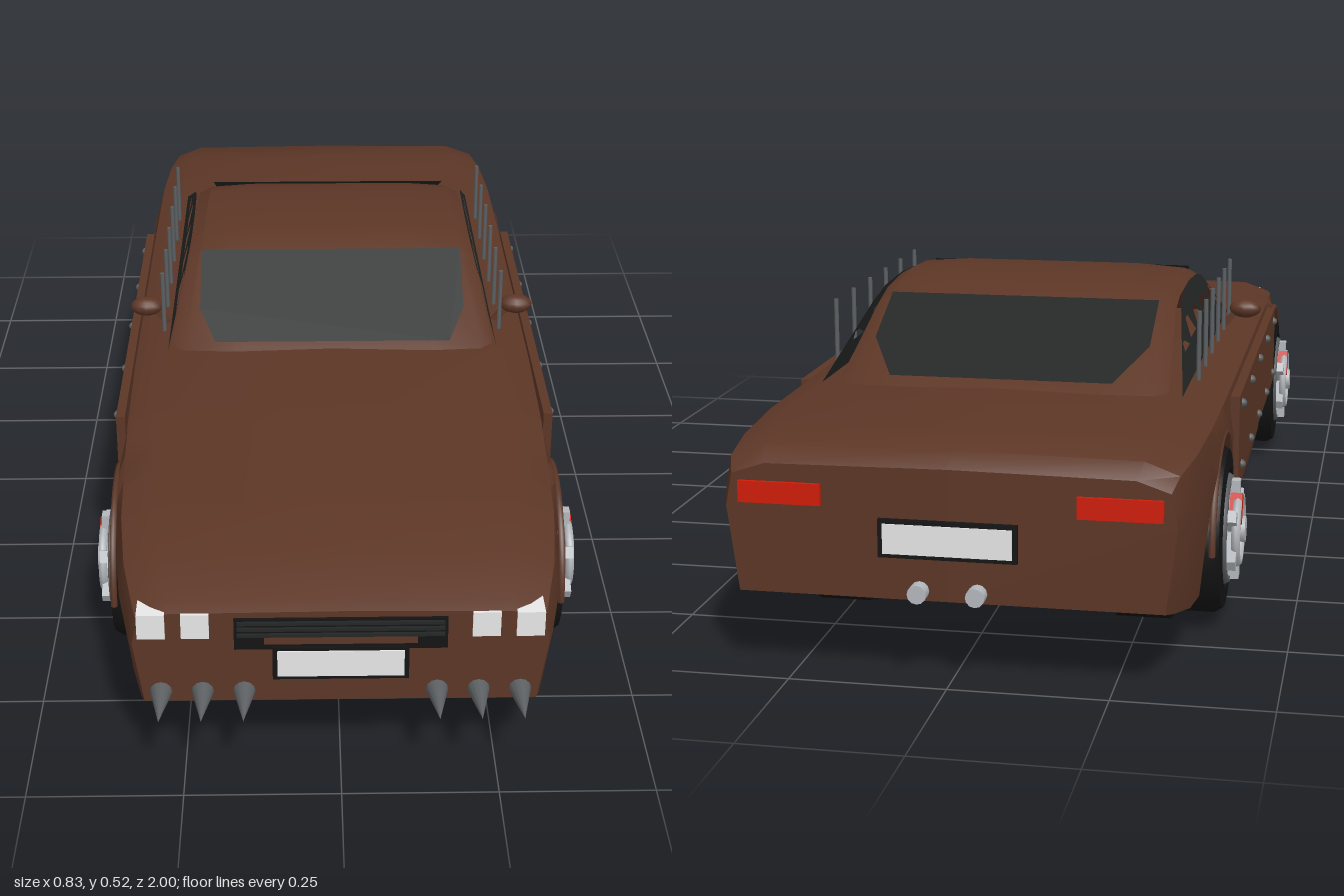
import * as THREE from 'three';
import { toCreasedNormals } from 'three/addons/utils/BufferGeometryUtils.js';

const mat = (name, color, side = THREE.FrontSide) => {
  const m = new THREE.MeshStandardMaterial({ color, side });
  m.name = name;
  return m;
};

const WHEEL_Y = 0.155, ARCH_R = 0.16, AXLES = [0.535, -0.6];

// Builds a geometry from points and triangle indices, keeping hard edges
function surface(pos, idx, crease = 0.6) {
  const g = new THREE.BufferGeometry();
  g.setAttribute('position', new THREE.Float32BufferAttribute(pos, 3));
  g.setIndex(idx);
  return toCreasedNormals(g, crease);
}

// z, floor height, top height, half width
const HULL = [
  [0.92, 0.125, 0.292, 0.328], [0.9, 0.12, 0.3, 0.335], [0.8, 0.1, 0.327, 0.357],
  [0.68, 0.085, 0.346, 0.37], [0.4, 0.08, 0.371, 0.38], [0.17, 0.08, 0.379, 0.382],
  [-0.45, 0.08, 0.38, 0.382], [-0.7, 0.083, 0.38, 0.38], [-0.85, 0.1, 0.373, 0.372],
  [-0.95, 0.125, 0.363, 0.358], [-0.978, 0.132, 0.34, 0.348],
];
function hullAt(z) {
  let i = 0;
  while (i < HULL.length - 2 && z < HULL[i + 1][0]) i++;
  const a = HULL[i], b = HULL[i + 1], t = (a[0] - z) / (a[0] - b[0]);
  return [1, 2, 3].map(k => a[k] + (b[k] - a[k]) * t);
}

// Body hull lofted along z, with wheel arches cut upward from the sill
function hullGeometry() {
  const zs = HULL.map(h => h[0]);
  for (const c of AXLES) {
    zs.push(c + ARCH_R + 0.001, c - ARCH_R - 0.001);
    for (let k = 0; k <= 14; k++) zs.push(c + ARCH_R * 0.9999 * Math.cos(k * Math.PI / 14));
  }
  zs.sort((a, b) => b - a);
  const pos = [], idx = [];
  for (const z of zs) {
    const [yb, yt, w] = hullAt(z), h = yt - yb;
    let ya = yb;
    for (const c of AXLES) {
      const d = Math.abs(z - c);
      if (d < ARCH_R) ya = WHEEL_Y + Math.sqrt(ARCH_R * ARCH_R - d * d);
    }
    const belt = Math.max(yb + h * 0.65, ya + 0.003);
    const sillX = w * (0.95 + 0.05 * Math.min(1, (ya - yb) / (h * 0.65)));
    const half = [[0, yb], [0.2, yb], [0.2, ya], [sillX, ya], [w, belt],
      [w * 0.97, yb + h * 0.9], [w * 0.82, yb + h * 0.985], [0, yt]];
    const ring = [...half, ...half.slice(1, -1).reverse().map(([x, y]) => [-x, y])];
    for (const [x, y] of ring) pos.push(x, y, z);
  }
  const n = 14, last = (zs.length - 1) * n;
  for (let i = 0; i < zs.length - 1; i++) for (let j = 0; j < n; j++) {
    const a = i * n + j, b = i * n + (j + 1) % n, c = a + n, d = b + n;
    idx.push(a, c, b, b, c, d);
  }
  for (let j = 1; j < n - 1; j++) {
    idx.push(0, j, j + 1);
    idx.push(last, last + j + 1, last + j);
  }
  return surface(pos, idx);
}

// Roof shell: z, height, half width
const ROOF = [[0.2, 0.365, 0.31], [0.17, 0.382, 0.305], [-0.03, 0.498, 0.278], [-0.09, 0.511, 0.273],
  [-0.2, 0.518, 0.27], [-0.31, 0.511, 0.268], [-0.37, 0.495, 0.268], [-0.6, 0.385, 0.285], [-0.63, 0.37, 0.285]];
function roofGeometry() {
  const cross = [[-1, 0.02], [-0.91, 0.006], [-0.6, 0], [0.6, 0], [0.91, 0.006], [1, 0.02]];
  const pos = [], idx = [];
  for (const [z, y, w] of ROOF) for (const [f, drop] of cross) pos.push(f * w, y - drop, z);
  for (let i = 0; i < ROOF.length - 1; i++) for (let j = 0; j < 5; j++) {
    const a = i * 6 + j;
    idx.push(a, a + 1, a + 6, a + 1, a + 7, a + 6);
  }
  return surface(pos, idx, 0.45);
}

// Flat pane on a sloping line, outlined by half-width and z pairs
function paneGeometry(half, z0, y0, z1, y1) {
  const outline = [...half, ...half.slice().reverse().map(([x, z]) => [-x, z])];
  const pos = [], idx = [];
  for (const [x, z] of outline) pos.push(x, y0 + (y1 - y0) * (z - z0) / (z1 - z0) + 0.005, z);
  for (let j = 1; j < outline.length - 1; j++) idx.push(0, j, j + 1);
  return surface(pos, idx);
}

// Leaning side window frame with open slots
function sideFrameGeometry(s) {
  const path = pts => pts.map(([z, y]) => new THREE.Vector2(z, y));
  const shape = new THREE.Shape(path([[0.18, 0.37], [-0.03, 0.482], [-0.09, 0.494], [-0.2, 0.5],
    [-0.31, 0.494], [-0.37, 0.478], [-0.61, 0.37]]));
  for (const [a, b, ya, yb] of [[0.085, -0.02, 0.412, 0.455], [-0.05, -0.13, 0.425, 0.46],
    [-0.16, -0.24, 0.425, 0.46], [-0.27, -0.35, 0.425, 0.46], [-0.38, -0.45, 0.42, 0.435]])
    shape.holes.push(new THREE.Path(path([[a, ya], [b, ya], [b, yb], [b + (a - b) * 0.35, yb]])));
  const g = new THREE.ShapeGeometry(shape), p = g.attributes.position;
  for (let i = 0; i < p.count; i++) {
    const z = p.getX(i), y = p.getY(i);
    p.setXYZ(i, s * (0.307 - 0.3 * (y - 0.38)), y, z);
  }
  g.computeVertexNormals();
  return g;
}

export function createModel() {
  const car = new THREE.Group();
  car.name = 'armouredCoupe';
  const paint = mat('brownPaint', 0x5c3626);
  const shell = mat('brownShell', 0x5c3626, THREE.DoubleSide);
  const glass = mat('darkGlass', 0x242626, THREE.DoubleSide);
  const rubber = mat('blackRubber', 0x141414);
  const silver = mat('silver', 0xb4b8bc);
  const steel = mat('darkSteel', 0x5c6062);
  const white = mat('lampWhite', 0xe8e8e8);
  const red = mat('red', 0xd01c08);

  const add = (name, geo, m, x = 0, y = 0, z = 0, parent = car) => {
    const mesh = new THREE.Mesh(geo, m);
    mesh.name = name;
    mesh.position.set(x, y, z);
    parent.add(mesh);
    return mesh;
  };
  const box = (name, w, h, d, m, x, y, z, parent) => add(name, new THREE.BoxGeometry(w, h, d), m, x, y, z, parent);

  // Body and cabin
  add('body', hullGeometry(), paint);
  add('roof', roofGeometry(), shell);
  add('windscreen', paneGeometry([[0.22, 0.166], [0.25, 0.1], [0.25, -0.02]], 0.17, 0.382, -0.03, 0.498), glass);
  add('rearWindow', paneGeometry([[0.24, -0.38], [0.24, -0.5], [0.19, -0.595]], -0.37, 0.495, -0.6, 0.385), glass);

  // Wheels, modelled facing +x around the hub
  const tyreGeo = toCreasedNormals(new THREE.LatheGeometry([[0, 0.21], [0.155, 0.21], [0.155, 0.3], [0.14, 0.304],
    [0.14, 0.372], [0.132, 0.385], [0.1, 0.388], [0.092, 0.37], [0, 0.365]]
    .map(([r, y]) => new THREE.Vector2(r, y)), 32).rotateZ(-Math.PI / 2), 0.6);
  const disc = (r, t, n) => new THREE.CylinderGeometry(r, r, t, n).rotateZ(Math.PI / 2);
  const hoop = (r, t, arc) => new THREE.TorusGeometry(r, t, 6, 32, arc).rotateY(Math.PI / 2);
  for (const s of [1, -1]) for (const z of AXLES) {
    const wheel = new THREE.Group();
    wheel.name = (z > 0 ? 'front' : 'rear') + (s > 0 ? 'Left' : 'Right') + 'Wheel';
    wheel.position.set(0, WHEEL_Y, z);
    wheel.rotation.y = s > 0 ? 0 : Math.PI;
    car.add(wheel);
    add('tyre', tyreGeo, rubber, 0, 0, 0, wheel);
    add('brakeDisc', disc(0.07, 0.01, 24), steel, 0.372, 0, 0, wheel);
    add('rim', hoop(0.085, 0.008), steel, 0.386, 0, 0, wheel);
    add('rimRing', hoop(0.055, 0.008), silver, 0.405, 0, 0, wheel);
    add('hub', disc(0.022, 0.05, 12), silver, 0.392, 0, 0, wheel);
    for (let k = 0; k < 6; k++) {
      const a = k * Math.PI / 3;
      const spoke = box('spoke', 0.018, 0.07, 0.02, silver, 0.398, Math.cos(a) * 0.05, Math.sin(a) * 0.05, wheel);
      spoke.rotation.x = a;
    }
    const caliper = box('brakeCaliper', 0.02, 0.05, 0.02, red, 0.402, 0.04, -0.018 * s, wheel);
    caliper.rotation.x = 0.4 * s;
    // Arch lip on the body side
    add('archLip', hoop(ARCH_R, 0.006, Math.PI), paint, s * 0.377, WHEEL_Y, z);
  }

  for (const s of [1, -1]) {
    add('sideWindowFrame', sideFrameGeometry(s), glass);
    // Riveted side armour
    box('sideArmour', 0.016, 0.155, 0.835, paint, s * 0.383, 0.268, -0.04);
    box('sillSeam', 0.006, 0.005, 0.84, rubber, s * 0.379, 0.187, -0.04);
    for (let k = 0; k < 5; k++) for (const y of [0.325, 0.215])
      add('rivet', new THREE.SphereGeometry(0.008, 8, 6), steel, s * 0.392, y, 0.33 - k * 0.185);
    // Upright rods beside the windows
    for (let k = 0; k < 6; k++)
      add('rod', new THREE.CylinderGeometry(0.004, 0.004, 0.12, 8), steel, s * 0.32, 0.435, 0.085 - k * 0.11);
    // Door mirror
    const mirror = add('mirror', new THREE.SphereGeometry(1, 12, 8), paint, s * 0.356, 0.406, 0.04);
    mirror.scale.set(0.031, 0.018, 0.022);
    const arm = box('mirrorArm', 0.012, 0.05, 0.012, paint, s * 0.328, 0.388, 0.04);
    arm.rotation.z = -s * 0.7;
    // Lamps
    for (const x of [0.228, 0.297]) box('headlight', 0.044, 0.044, 0.05, white, s * x, 0.268, 0.9);
    box('tailLight', 0.13, 0.034, 0.008, red, s * 0.262, 0.292, -0.98);
    // Bumper spikes
    for (const x of [0.153, 0.219, 0.285])
      add('spike', new THREE.ConeGeometry(0.02, 0.09, 12).rotateX(Math.PI / 2), steel, s * x, 0.143, 0.955);
    const pipe = add('exhaust', new THREE.CylinderGeometry(0.015, 0.015, 0.06, 12), silver, s * 0.045, 0.148, -0.97);
    pipe.rotation.x = Math.PI / 2;
  }

  // Grille
  box('grille', 0.335, 0.056, 0.008, rubber, 0, 0.253, 0.921);
  for (let k = 0; k < 3; k++) box('grilleSlat', 0.325, 0.005, 0.008, glass, 0, 0.275 - k * 0.011, 0.926);
  box('grilleBar', 0.24, 0.018, 0.008, paint, 0, 0.246, 0.925);

  // Blank plates
  for (const [name, y, z, d] of [['front', 0.2, 0.923, 1], ['rear', 0.23, -0.981, -1]]) {
    box(name + 'PlateFrame', 0.215, 0.06, 0.01, rubber, 0, y, z);
    box(name + 'Plate', 0.2, 0.047, 0.006, white, 0, y, z + d * 0.004);
  }
  return car;
}
